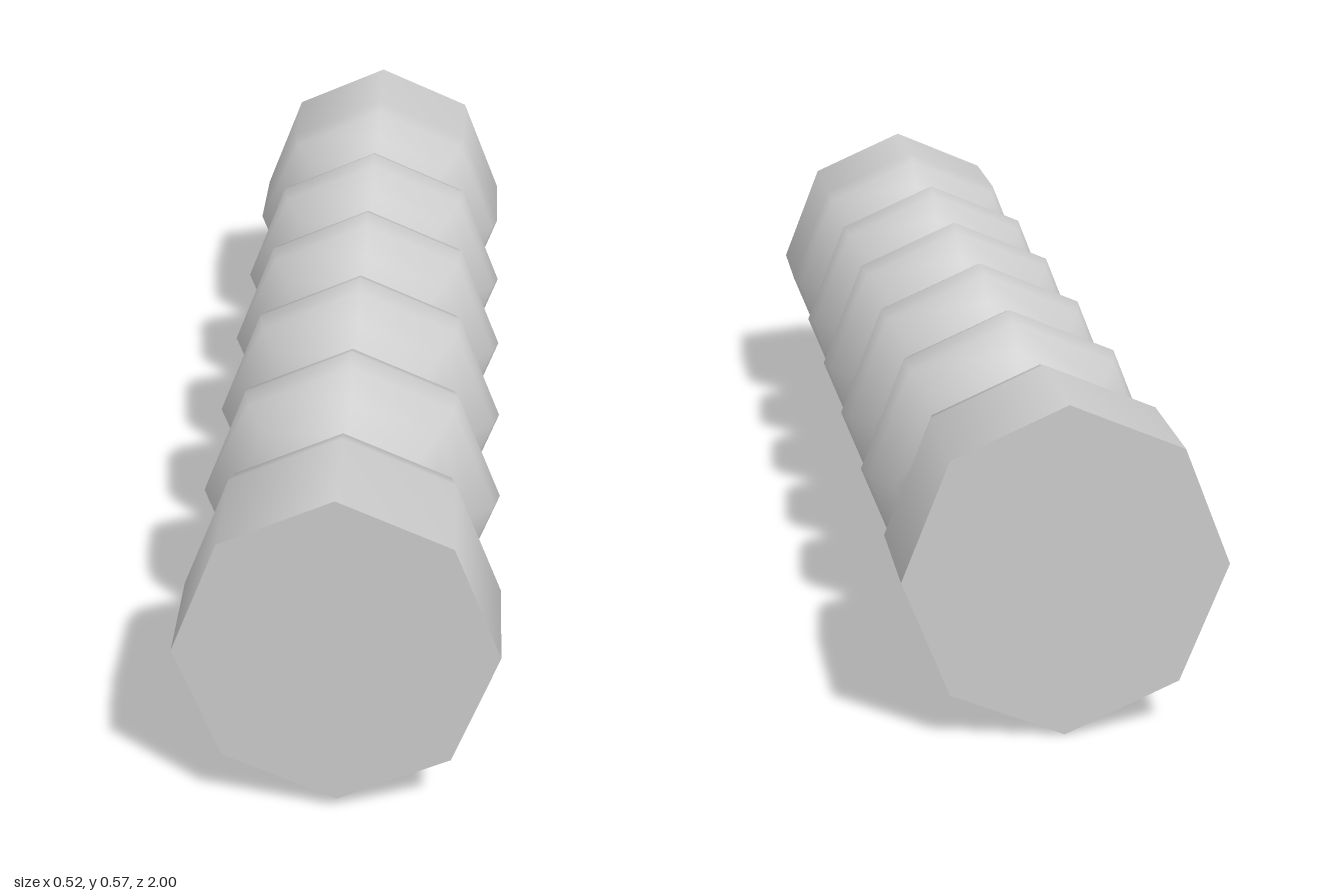
import * as THREE from 'three';

const SIDES = 8, R = 0.261, HALF = 0.997;

// Radius along the axis: straight end collars, evenly spaced ridges between
function profile() {
  const pitch = 0.313;
  const wave = [[-0.157, 0.159], [-0.125, 0.167], [-0.08, 0.212], [-0.036, 0.25],
    [0, R], [0.036, 0.25], [0.08, 0.212], [0.125, 0.167]];
  const pts = [[-HALF, R], [-0.79, R], [-0.75, 0.25], [-0.705, 0.21], [-0.66, 0.167]];
  for (let i = 0; i < 4; i++) {
    const c = (i - 1.5) * pitch;
    for (const [d, r] of wave) pts.push([c + d, r]);
  }
  pts.push([0.627, 0.159], [0.66, 0.167], [0.705, 0.21], [0.75, 0.25], [0.79, R], [HALF, R]);
  return pts.map(([t, r]) => new THREE.Vector2(r, t));
}

export function createModel() {
  const group = new THREE.Group();
  group.name = 'ribbedRod';
  const material = new THREE.MeshStandardMaterial({ color: 0xcccccc });
  const rod = new THREE.Group();
  rod.name = 'rod';

  // Ribbed body, turned around z
  const body = new THREE.Mesh(
    new THREE.LatheGeometry(profile(), SIDES).rotateX(Math.PI / 2).scale(1, 1.057, 1), material);
  body.name = 'ribbedBody';
  rod.add(body);

  // Flat end caps
  for (const s of [1, -1]) {
    const geo = new THREE.CircleGeometry(R, SIDES);
    if (s < 0) geo.rotateY(Math.PI);
    const cap = new THREE.Mesh(geo.scale(1, 1.057, 1), material);
    cap.position.z = s * HALF;
    cap.name = s > 0 ? 'frontCap' : 'backCap';
    rod.add(cap);
  }

  // The rod lies with its front end slightly raised
  rod.rotation.x = -0.01;
  rod.position.y = 0.286;
  group.add(rod);
  return group;
}
